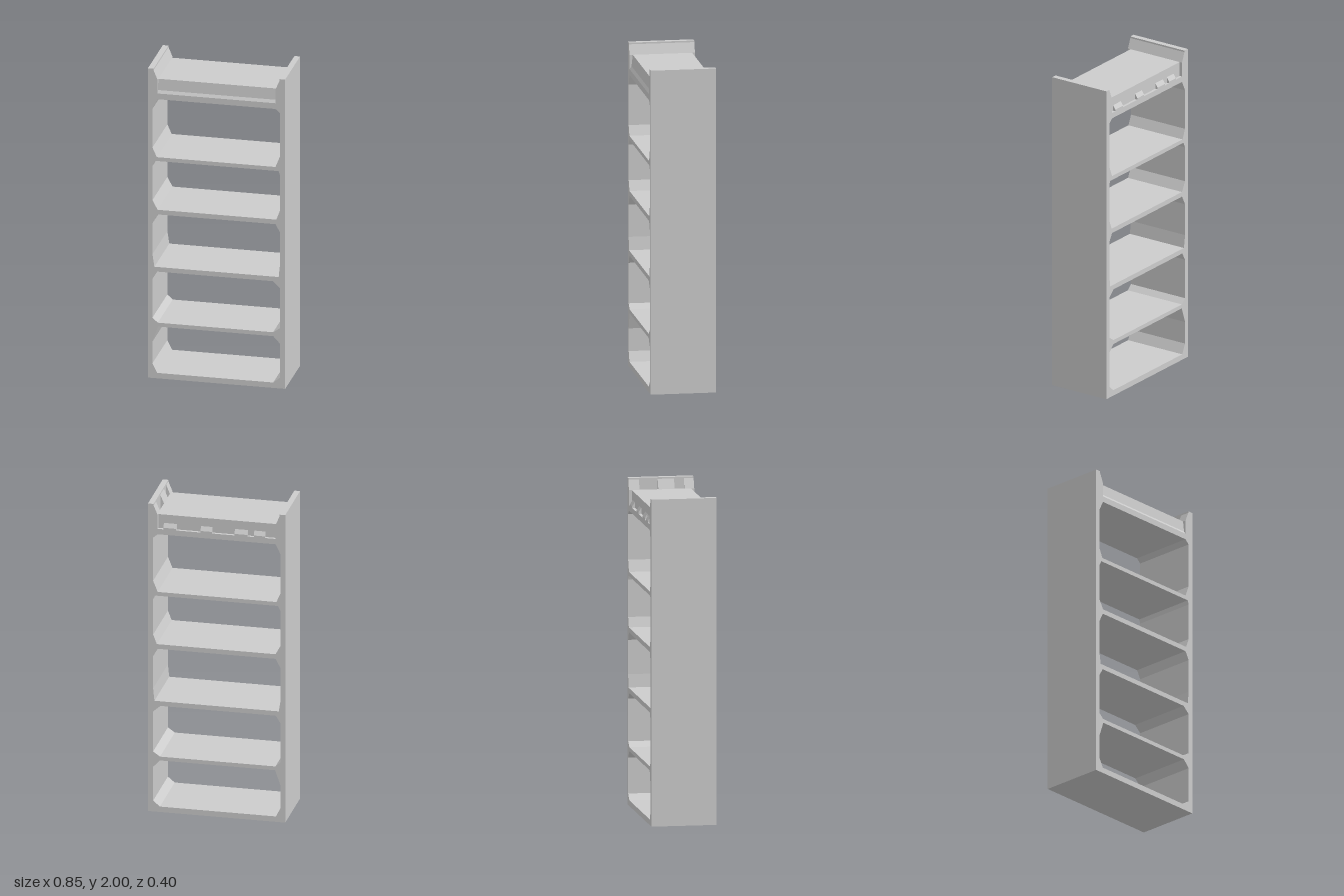
import * as THREE from 'three';

const material = new THREE.MeshStandardMaterial({ color: 0xcccccc, flatShading: true });
const WALL = 0.39, HALF_DEPTH = 0.2;

const points = (list) => list.map(([x, y]) => new THREE.Vector2(x, y));

// Extrude a front-facing outline from z0 to z1
function extrude(name, outline, z0, z1, holes = []) {
  const shape = new THREE.Shape(points(outline));
  holes.forEach((h) => shape.holes.push(new THREE.Path(points(h))));
  const geometry = new THREE.ExtrudeGeometry(shape, { depth: z1 - z0, bevelEnabled: false });
  geometry.translate(0, 0, z0);
  const mesh = new THREE.Mesh(geometry, material);
  mesh.name = name;
  return mesh;
}

// Extrude a side profile of [z, y] points along x
function extrudeAcross(name, profile, x0, x1) {
  const mesh = extrude(name, profile.map(([z, y]) => [-z, y]), x0, x1);
  mesh.geometry.rotateY(Math.PI / 2);
  return mesh;
}

// Bay opening with a chamfer [dx, dy] at each corner: bottom left, bottom right, top right, top left
function opening(y0, y1, [bl, br, tr, tl]) {
  const l = -0.397, r = 0.393;
  return [
    [l + bl[0], y0], [r - br[0], y0], [r, y0 + br[1]], [r, y1 - tr[1]],
    [r - tr[0], y1], [l + tl[0], y1], [l, y1 - tl[1]], [l, y0 + bl[1]],
  ];
}

export function createModel() {
  const group = new THREE.Group();
  group.name = 'bookcase';

  // Sides and shelves in one frame, with five open bays
  const bays = [
    opening(0.035, 0.335, [[0.03, 0.06], [0.042, 0.035], [0.042, 0.045], [0.035, 0.1]]),
    opening(0.36, 0.69, [[0.033, 0.03], [0.043, 0.03], [0.045, 0.04], [0.03, 0.05]]),
    opening(0.72, 1.06, [[0.012, 0.08], [0.008, 0.08], [0.028, 0.05], [0.032, 0.06]]),
    opening(1.09, 1.405, [[0.032, 0.06], [0.023, 0.06], [0.008, 0.025], [0.017, 0.035]]),
    opening(1.43, 1.805, [[0.027, 0.06], [0.028, 0.07], [0.028, 0.025], [0.032, 0.065]]),
  ];
  group.add(extrude('frame', [
    [-0.425, 0], [0.425, 0], [0.425, 2], [WALL, 2],
    [WALL, 1.84], [-WALL, 1.84], [-WALL, 2], [-0.425, 2],
  ], -HALF_DEPTH, HALF_DEPTH, bays));

  // Raised top with a sloping front and a stepped back
  group.add(extrudeAcross('topShelf', [
    [-0.183, 1.835], [0.2, 1.835], [0.2, 1.842], [0.188, 1.86], [0.18, 1.93], [-0.183, 1.93],
  ], -0.37, 0.37));

  // Angled fillets between the top and the side walls, interrupted on one side
  const fillet = [[-WALL, 1.84], [-0.365, 1.84], [-0.365, 1.93], [-WALL, 1.99]];
  const mirrored = fillet.map(([x, y]) => [-x, y]);
  group.add(extrude('leftEndFillet', fillet, -HALF_DEPTH, HALF_DEPTH));
  [[-0.2, -0.135], [-0.02, 0.08], [0.14, 0.2]].forEach(([z0, z1]) => {
    group.add(extrude('rightEndFillet', mirrored, z0, z1));
  });

  // Small wedges along the back ledge
  [[-0.3, -0.23], [-0.19, -0.11], [0.03, 0.1], [0.25, 0.33]].forEach(([x0, x1]) => {
    group.add(extrudeAcross('backWedge', [
      [-0.2, 1.835], [-0.18, 1.835], [-0.18, 1.88], [-0.2, 1.85],
    ], x0, x1));
  });

  return group;
}
